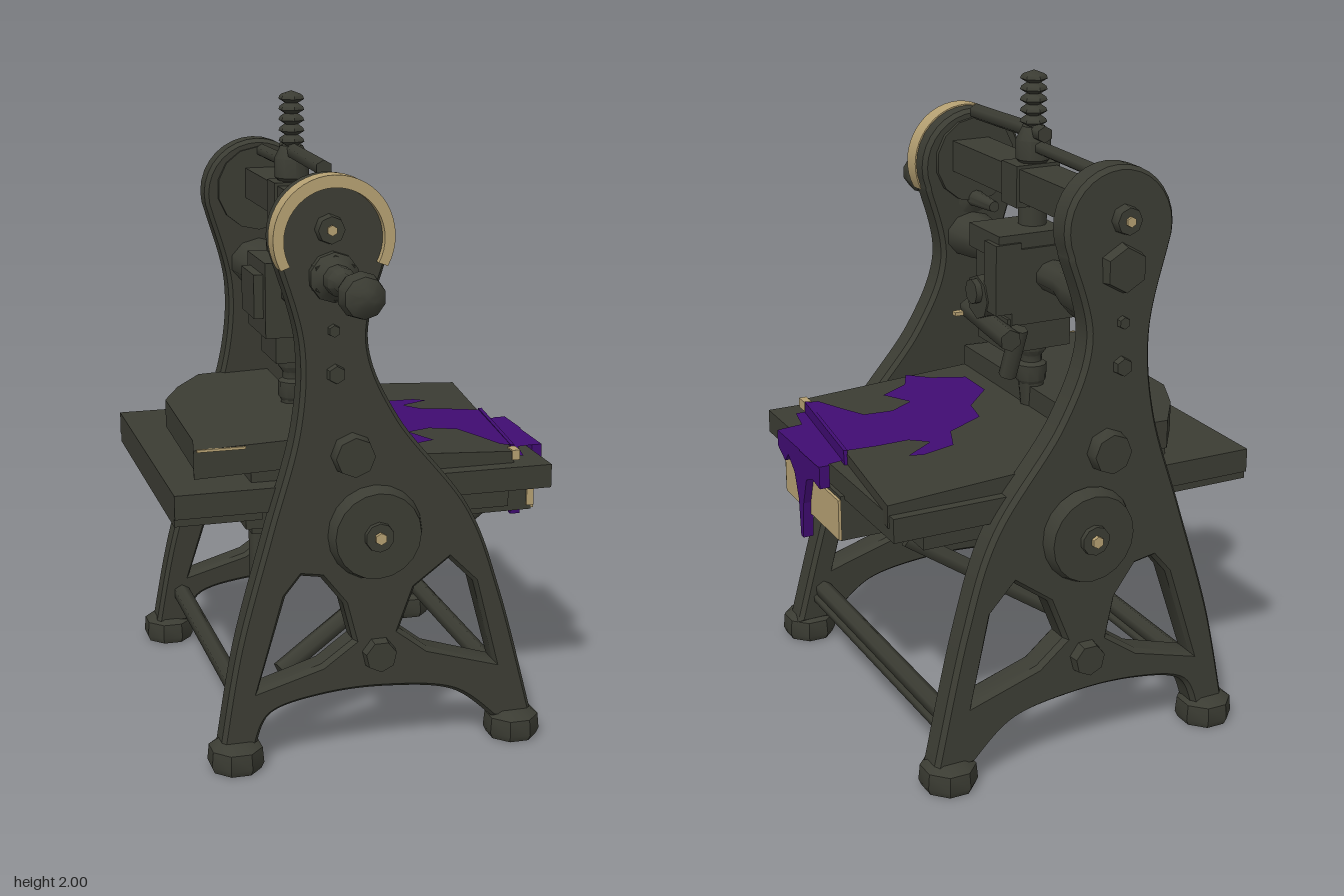
import * as THREE from 'three';
import { toCreasedNormals } from 'three/addons/utils/BufferGeometryUtils.js';

const material = (name, color) => {
  const m = new THREE.MeshStandardMaterial({ color });
  m.name = name;
  return m;
};
const V = (a) => a.map(([x, y]) => new THREE.Vector2(x, y));

export function createModel() {
  const root = new THREE.Group();
  root.name = 'benchPress';
  const iron = material('dark iron', 0x3b3c33);
  const slime = material('purple slime', 0x400c72);
  const brass = material('worn tan', 0xb5a072);
  slime.side = THREE.DoubleSide;

  const add = (name, geo, mat, x = 0, y = 0, z = 0, parent = root) => {
    const m = new THREE.Mesh(geo, mat);
    m.name = name;
    m.position.set(x, y, z);
    parent.add(m);
    return m;
  };
  // Box given by its extents
  const box = (name, mat, x0, x1, y0, y1, z0, z1) =>
    add(name, new THREE.BoxGeometry(x1 - x0, y1 - y0, z1 - z0), mat, (x0 + x1) / 2, (y0 + y1) / 2, (z0 + z1) / 2);
  // Cylinder lying along z
  const disc = (name, mat, r0, r1, len, sides, x, y, z, parent = root) =>
    add(name, toCreasedNormals(new THREE.CylinderGeometry(r0, r1, len, sides).rotateX(Math.PI / 2), 0.8), mat, x, y, z, parent);
  // Straight rod between two points
  const rod = (name, a, b, r, sides = 6) => {
    const p = new THREE.Vector3(...a), q = new THREE.Vector3(...b), d = q.clone().sub(p);
    const m = add(name, new THREE.CylinderGeometry(r, r, d.length(), sides), iron);
    m.position.copy(p).add(q).multiplyScalar(0.5);
    m.quaternion.setFromUnitVectors(new THREE.Vector3(0, 1, 0), d.normalize());
  };
  const lathe = (points, sides) => toCreasedNormals(new THREE.LatheGeometry(V(points), sides), 0.7);

  // Side frames: cast outline with arched base and two openings, leaning inward
  const frameShape = () => {
    const s = new THREE.Shape();
    s.moveTo(0.36, 0.07);
    s.lineTo(0.49, 0.07);
    s.splineThru(V([[0.38, 0.49], [0.27, 0.78], [0.05, 1.07], [-0.045, 1.31], [0.011, 1.55]]));
    s.absarc(-0.155, 1.625, 0.18, -0.4, Math.PI + 0.4, false);
    s.splineThru(V([[-0.255, 1.31], [-0.27, 1.05], [-0.36, 0.74], [-0.46, 0.39], [-0.52, 0.07]]));
    s.lineTo(-0.41, 0.07);
    s.splineThru(V([[-0.36, 0.17], [-0.2, 0.21], [0, 0.215], [0.22, 0.18], [0.36, 0.07]]));
    s.holes.push(
      new THREE.Path(V([[-0.26, 0.6], [-0.31, 0.54], [-0.4, 0.25], [-0.2, 0.31], [-0.1, 0.38], [-0.13, 0.5], [-0.2, 0.59]])),
      new THREE.Path(V([[0.21, 0.61], [0.1, 0.53], [0.05, 0.4], [0.14, 0.33], [0.36, 0.26], [0.29, 0.53]])));
    return s;
  };
  // Bosses and bolts: x, y, radius, length, sides
  const bosses = [[-0.03, 0.72, 0.15, 0.045, 20], [-0.03, 0.72, 0.05, 0.06, 10], [-0.1, 0.97, 0.068, 0.045, 8],
    [-0.15, 1.22, 0.03, 0.025, 6], [-0.02, 0.33, 0.055, 0.035, 7], [-0.165, 1.65, 0.045, 0.035, 8],
    [-0.155, 1.51, 0.075, 0.035, 6], [-0.155, 1.35, 0.02, 0.02, 6]];
  for (const side of [1, -1]) {
    const g = new THREE.Group();
    g.name = side > 0 ? 'frontFrame' : 'backFrame';
    root.add(g);
    const midZ = (y) => (side > 0 ? 0.405 - 0.03 * y : -0.68 + 0.06 * y);
    const geo = new THREE.ExtrudeGeometry(frameShape(), {
      depth: 0.065, bevelThickness: 0.016, bevelSize: 0.012, bevelOffset: -0.012, bevelSegments: 1, curveSegments: 10 });
    const p = geo.attributes.position;
    for (let i = 0; i < p.count; i++) p.setZ(i, p.getZ(i) - 0.0325 + midZ(p.getY(i)));
    add('framePlate', toCreasedNormals(geo, 0.6), iron, 0, 0, 0, g);

    // Feet
    for (const x of [-0.47, 0.43]) {
      const foot = add('foot', lathe([[0, 0], [0.085, 0], [0.095, 0.02], [0.09, 0.07], [0.06, 0.09], [0, 0.09]], 8),
        iron, x, 0, side > 0 ? 0.42 : -0.685, g);
      foot.scale.set(0.92, 1, 0.95);
      foot.rotation.y = Math.PI / 8;
    }
    for (const [x, y, r, len, n] of bosses)
      disc('boss', iron, side > 0 ? r * 0.9 : r, side > 0 ? r : r * 0.9, len, n, x, y, midZ(y) + side * (0.045 + len / 2), g);
    disc('hubCap', brass, 0.019, 0.019, 0.02, 6, -0.03, 0.72, midZ(0.72) + side * 0.107, g);
    disc('headCap', brass, 0.016, 0.016, 0.01, 6, -0.165, 1.65, midZ(1.65) + side * 0.083, g);
    // Inner boss behind the head
    disc('innerBoss', iron, 0.14, 0.14, 0.03, 14, -0.155, 1.64, midZ(1.64) - side * 0.05, g);
  }

  // Tan arc around the front head
  const arc = new THREE.Shape();
  arc.absarc(-0.155, 1.625, 0.184, -0.5, Math.PI + 0.5, false);
  arc.absarc(-0.155, 1.62, 0.152, Math.PI + 0.5, -0.5, true);
  add('headRim', toCreasedNormals(new THREE.ExtrudeGeometry(arc, { depth: 0.062, bevelEnabled: false, curveSegments: 16 }), 0.6),
    brass, 0, 0, 0.368);

  // Table: lower slab with its lip
  box('tableSlab', iron, -0.63, 0.57, 0.79, 0.865, -0.63, 0.36);
  box('slabLeftLip', iron, -0.63, -0.36, 0.765, 0.8, -0.62, 0.35);

  // Top plates from outlines in (x, -z), with sloping tops; the left one sits higher
  const topPlate = (name, points, thick, topY) => {
    const geo = new THREE.ExtrudeGeometry(new THREE.Shape(V(points)), { depth: thick, bevelEnabled: false }).rotateX(-Math.PI / 2);
    const p = geo.attributes.position;
    for (let i = 0; i < p.count; i++) p.setY(i, p.getY(i) - thick + topY(p.getX(i)));
    geo.computeVertexNormals();
    add(name, geo, iron);
  };
  const rightTop = (x) => 0.927 - 0.0536 * x;
  topPlate('rightPlate', [[-0.2, -0.31], [0.463, -0.31], [0.575, 0.6], [-0.2, 0.6]], 0.07, rightTop);
  topPlate('leftPlate', [[-0.56, -0.31], [-0.12, -0.31], [-0.12, 0.6], [-0.36, 0.59], [-0.46, 0.45], [-0.53, 0.3], [-0.54, -0.2]],
    0.09, (x) => 1.005 + 0.035 * x);
  box('plateSupport', iron, -0.38, -0.1, 0.85, 0.93, -0.55, 0.29);

  // Drawer-like tray beneath with a worn end
  box('underBeam', iron, -0.4, 0.45, 0.72, 0.8, -0.57, 0.3);
  box('tray', iron, -0.35, 0.583, 0.655, 0.8, -0.27, 0.16);
  box('trayEnd', brass, 0.583, 0.592, 0.66, 0.79, -0.275, 0.16);
  box('trayEndReturn', brass, 0.566, 0.59, 0.67, 0.77, 0.16, 0.167);
  box('cornerChip', brass, 0.455, 0.48, 0.875, 0.907, 0.27, 0.316);
  box('edgeChip', brass, -0.55, -0.4, 0.98, 0.988, 0.308, 0.316);

  // Base stretchers, post and braces
  for (const x of [-0.43, 0.4]) {
    rod('stretcher', [x, 0.185, 0.39], [x, 0.185, -0.66], 0.03);
    rod('lowerStretcher', [x + 0.02, 0.155, 0.39], [x + 0.02, 0.155, -0.66], 0.018);
  }
  rod('post', [-0.165, 0.23, -0.5], [-0.165, 0.75, -0.5], 0.045, 8);
  rod('frontBrace', [-0.3, 0.25, 0.31], [0.42, 0.66, 0.1], 0.03);
  rod('backBrace', [-0.1, 0.36, -0.57], [0.42, 0.68, -0.39], 0.03);

  // Upper bars joining the frames
  box('upperBeam', iron, -0.2, -0.07, 1.61, 1.71, -0.58, 0.34);
  add('lowerArm', lathe([[0.095, -0.57], [0.085, -0.44], [0.055, -0.34], [0.06, 0.14], [0.075, 0.22], [0.09, 0.35]], 10)
    .rotateX(Math.PI / 2), iron, -0.15, 1.385, 0).scale.set(1.05, 0.88, 1);
  rod('topLever', [-0.14, 1.805, 0.26], [-0.14, 1.815, -0.2], 0.026);
  rod('backLever', [-0.14, 1.77, -0.16], [-0.14, 1.765, -0.58], 0.022);

  // Spindle with threaded tip
  const thread = [[0, 1.8], [0.028, 1.8]];
  for (let i = 0; i < 5; i++) thread.push([0.022, 1.83 + i * 0.033], [0.042, 1.842 + i * 0.033], [0.038, 1.852 + i * 0.033]);
  thread.push([0.03, 1.99], [0, 2]);
  add('threadedTip', lathe(thread, 6), iron, -0.14, 0, -0.125);
  add('spindle', lathe([[0, 1.0], [0.035, 1.0], [0.05, 1.02], [0.05, 1.07], [0.035, 1.08], [0.035, 1.1], [0.05, 1.12], [0.045, 1.18],
    [0.045, 1.72], [0.055, 1.73], [0.055, 1.79], [0.035, 1.83], [0, 1.83]], 10), iron, -0.14, 0, -0.125);
  add('toolTip', new THREE.CylinderGeometry(0.045, 0.035, 0.1, 8), iron, -0.14, 0.985, -0.125);
  box('spindleCollar', iron, -0.21, -0.06, 1.59, 1.72, -0.17, -0.07);

  // Carriage head with its clamp plates and knobs
  box('carriage', iron, -0.26, -0.01, 1.24, 1.48, -0.24, 0.0);
  box('carriageUpper', iron, -0.2, 0.03, 1.45, 1.525, -0.23, -0.03);
  box('carriageLower', iron, -0.22, 0.0, 1.15, 1.26, -0.23, -0.03);
  box('sidePlate', iron, -0.04, 0.045, 1.28, 1.5, -0.24, -0.16);
  box('backPlate', iron, -0.29, -0.24, 1.3, 1.44, -0.2, -0.03);
  rod('sideKnob', [-0.05, 1.31, -0.12], [0.05, 1.31, -0.12], 0.07, 8);
  rod('sideKnobCap', [0.04, 1.33, -0.12], [0.07, 1.33, -0.12], 0.04, 8);
  rod('clampBar', [0.0, 1.23, 0.03], [0.03, 1.22, -0.31], 0.035);
  rod('clampPin', [-0.02, 1.24, -0.27], [0.0, 1.08, -0.23], 0.028);
  box('clampChip', brass, 0.03, 0.06, 1.212, 1.224, 0.01, 0.033);

  // Crank handle
  add('crankHandle', lathe([[0, 0.16], [0.018, 0.16], [0.028, 0.3], [0.075, 0.32], [0.075, 0.43], [0.045, 0.46], [0.045, 0.51], [0.033, 0.53],
    [0.036, 0.6], [0.055, 0.65], [0.068, 0.69], [0.06, 0.74], [0.025, 0.765], [0, 0.765]], 10).rotateX(Math.PI / 2),
    iron, -0.155, 1.51, 0);

  // Slime pooled on the right plate, following its slope
  const pool = new THREE.ShapeGeometry(new THREE.Shape(V([[-0.06, -0.04], [-0.06, -0.18], [0.04, -0.24], [0.1, -0.31], [0.14, -0.23],
    [0.24, -0.18], [0.19, -0.08], [0.27, -0.04], [0.36, -0.06], [0.4, -0.15], [0.44, -0.25], [0.475, -0.26], [0.505, -0.05], [0.53, 0.18],
    [0.43, 0.2], [0.33, 0.21], [0.28, 0.26], [0.38, 0.32], [0.34, 0.34], [0.23, 0.32], [0.19, 0.22], [0.06, 0.16], [0.04, 0.06]])))
    .rotateX(-Math.PI / 2);
  const sp = pool.attributes.position;
  for (let i = 0; i < sp.count; i++) sp.setY(i, rightTop(sp.getX(i)) + 0.007);
  pool.computeVertexNormals();
  add('slimePool', pool, slime);

  // Slime over the edges: outlines in (-z, y), extruded along x
  const drape = (name, x, depth, points) => add(name, new THREE.ExtrudeGeometry(new THREE.Shape(V(points)),
    { depth, bevelEnabled: false }).rotateY(Math.PI / 2), slime, x);
  drape('plateDrape', 0.5, 0.012, [[-0.265, 0.91], [-0.265, 0.85], [-0.2, 0.86], [-0.1, 0.83], [0.2, 0.84], [0.19, 0.91]])
    .rotation.y = -0.12;
  drape('slabDrip', 0.583, 0.033, [[-0.16, 0.872], [-0.16, 0.82], [-0.1, 0.79], [-0.07, 0.82], [-0.02, 0.78], [0.01, 0.7], [0.02, 0.58],
    [0.04, 0.58], [0.05, 0.7], [0.08, 0.79], [0.13, 0.81], [0.19, 0.8], [0.19, 0.872]]);
  add('slimeLedge', new THREE.ShapeGeometry(new THREE.Shape(V([[0.46, -0.27], [0.51, -0.27], [0.53, -0.17], [0.605, -0.16], [0.585, -0.06],
    [0.62, 0.04], [0.62, 0.19], [0.51, 0.17]]))).rotateX(-Math.PI / 2), slime, 0, 0.873, 0);
  return root;
}
